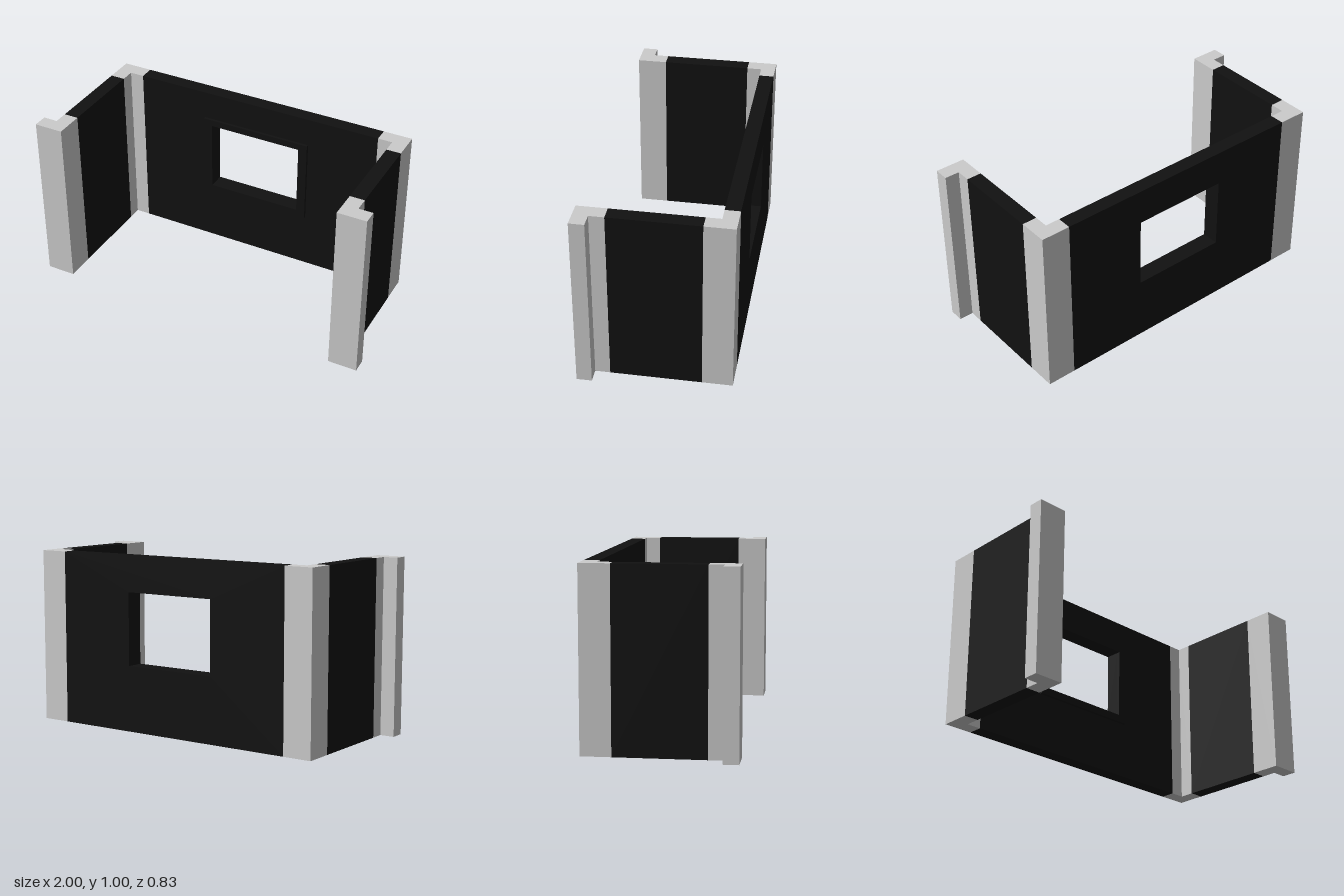
import * as THREE from 'three';

const grey = new THREE.MeshStandardMaterial({ color: 0xcccccc });
const black = new THREE.MeshStandardMaterial({ color: 0x111111 });

// Main plan lines
const H = 1;
const IN = 0.833, OUT = 0.917, FLANGE = 1;   // x of side wall faces and front flange
const ZB = 0.417, ZI = 0.333, ZP = 0.25;     // z of outer face, inner face, panel end

function add(group, name, geometry, material) {
  const mesh = new THREE.Mesh(geometry, material);
  mesh.name = name;
  group.add(mesh);
  return mesh;
}

// Upright post from a plan outline of [x, z] points, mirrored by side
function post(points, side) {
  const shape = new THREE.Shape(points.map(([x, z]) => new THREE.Vector2(side * x, -z)));
  return new THREE.ExtrudeGeometry(shape, { depth: H, bevelEnabled: false }).rotateX(-Math.PI / 2);
}

function rect(Type, x0, y0, x1, y1) {
  return new Type().moveTo(x0, y0).lineTo(x1, y0).lineTo(x1, y1).lineTo(x0, y1).closePath();
}

// Upright plate with a rectangular opening, running from z0 to z1
function piercedPlate(outer, opening, z0, z1) {
  const shape = rect(THREE.Shape, ...outer);
  shape.holes.push(rect(THREE.Path, ...opening));
  return new THREE.ExtrudeGeometry(shape, { depth: z1 - z0, bevelEnabled: false }).translate(0, 0, z0);
}

export function createModel() {
  const model = new THREE.Group();
  model.name = 'windowBay';

  // Back wall with window opening, and the raised frame on its inner face
  const opening = [-0.28, 0.377, 0.28, 0.795];
  add(model, 'backWall', piercedPlate([-0.75, 0, 0.75, H], opening, -ZB, -ZI), black);
  add(model, 'windowFrame', piercedPlate([-0.333, 0.333, 0.333, 0.833], opening, -ZI, -0.317), black);

  for (const [side, label] of [[1, 'left'], [-1, 'right']]) {
    // Side wall panel
    const panel = new THREE.BoxGeometry(OUT - IN, H, 2 * ZP);
    add(model, label + 'SideWall', panel, black).position.set(side * (IN + OUT) / 2, H / 2, 0);

    // L-shaped corner post at the back
    add(model, label + 'BackPost', post([
      [0.75, -ZB], [OUT, -ZB], [OUT, -ZP], [IN, -ZP], [IN, -ZI], [0.75, -ZI],
    ], side), grey);

    // L-shaped front post with outward flange
    add(model, label + 'FrontPost', post([
      [IN, ZP], [OUT, ZP], [OUT, ZI], [FLANGE, ZI], [FLANGE, ZB], [IN, ZB],
    ], side), grey);
  }
  return model;
}
